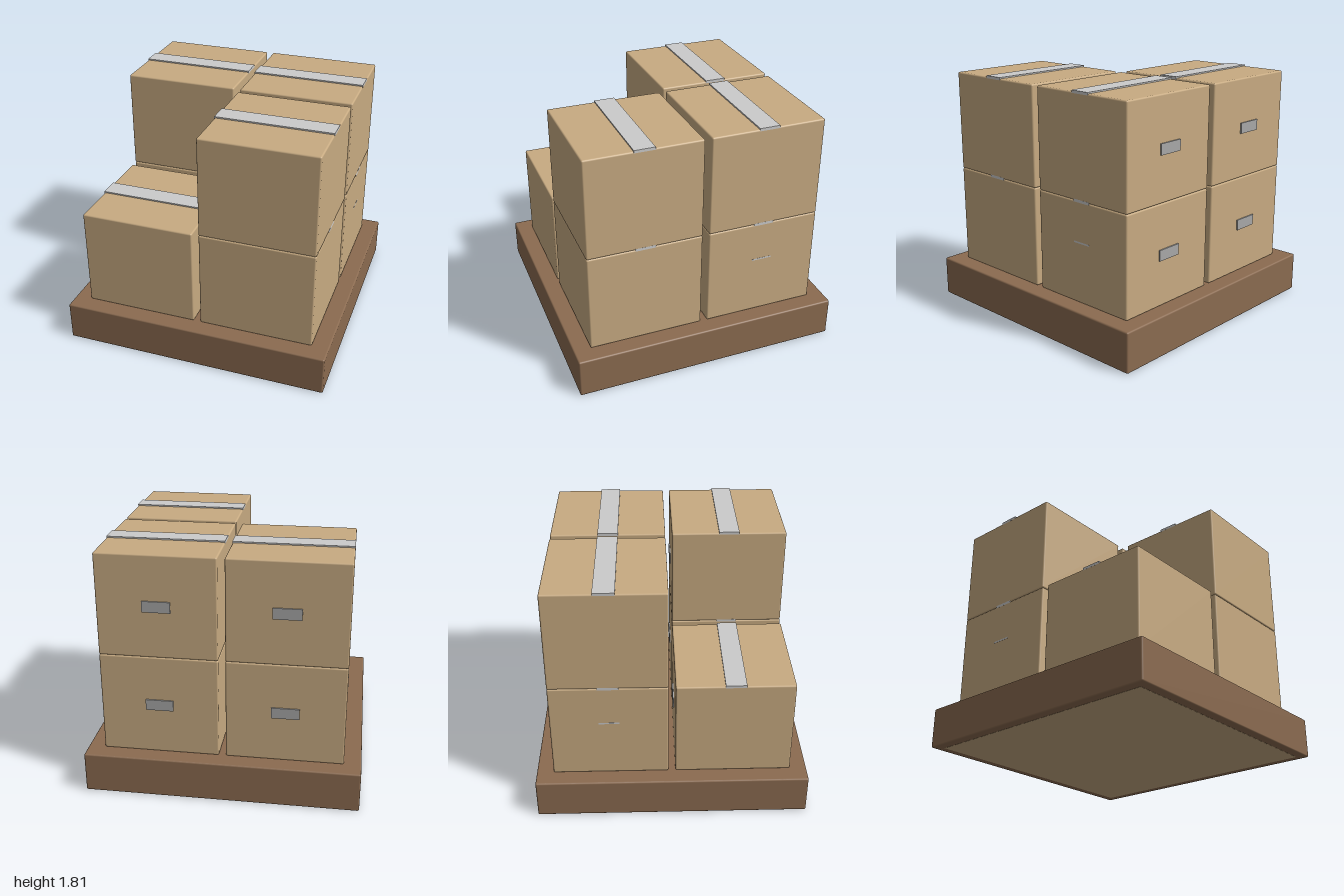
import * as THREE from 'three';
import { RoundedBoxGeometry } from 'three/addons/geometries/RoundedBoxGeometry.js';

const material = (color) => new THREE.MeshStandardMaterial({ color });
const cardboard = material(0xc8ab82);
const wood = material(0x8b6b50);
const tapeGrey = material(0xdcdcd8);
const handleGrey = material(0xa8a8a8);

const SIZE = 0.85, HEIGHT = 0.75, OFFSET = 0.45, BASE = 0.3;

function add(parent, name, geometry, mat, x, y, z) {
  const mesh = new THREE.Mesh(geometry, mat);
  mesh.name = name;
  mesh.position.set(x, y, z);
  parent.add(mesh);
  return mesh;
}

// One carton, standing on its own y = 0, with top tape and a rear handle
function createCarton() {
  const carton = new THREE.Group();
  carton.name = 'carton';
  add(carton, 'cartonBody', new RoundedBoxGeometry(SIZE, HEIGHT, SIZE, 2, 0.012), cardboard, 0, HEIGHT / 2, 0);
  add(carton, 'tape', new THREE.BoxGeometry(SIZE, 0.02, 0.15), tapeGrey, 0, HEIGHT, 0);
  add(carton, 'handle', new THREE.BoxGeometry(0.2, 0.08, 0.02), handleGrey, 0, HEIGHT / 2 + 0.005, -SIZE / 2);
  return carton;
}

export function createModel() {
  const model = new THREE.Group();
  model.name = 'loadedPallet';

  // Solid pallet with a lighter underside panel
  add(model, 'pallet', new RoundedBoxGeometry(2, BASE, 2, 2, 0.012), wood, 0, BASE / 2, 0);
  add(model, 'undersidePanel', new THREE.BoxGeometry(1.86, 0.004, 1.86), cardboard, 0, 0.001, 0);

  // Two layers of four cartons, the upper one missing its front corner at -x
  for (const level of [0, 1]) {
    for (const sx of [-1, 1]) {
      for (const sz of [-1, 1]) {
        if (level === 1 && sx === -1 && sz === 1) continue;
        const carton = createCarton();
        carton.position.set(sx * OFFSET, BASE + level * HEIGHT, sz * OFFSET);
        model.add(carton);
        // Narrow tape edge showing on the sides of the lower rear cartons
        if (level === 0 && sz === -1) {
          add(carton, 'sideTapeEdge', new THREE.BoxGeometry(SIZE + 0.002, 0.012, 0.15), tapeGrey, 0, 0.45, 0);
        }
      }
    }
  }
  return model;
}
